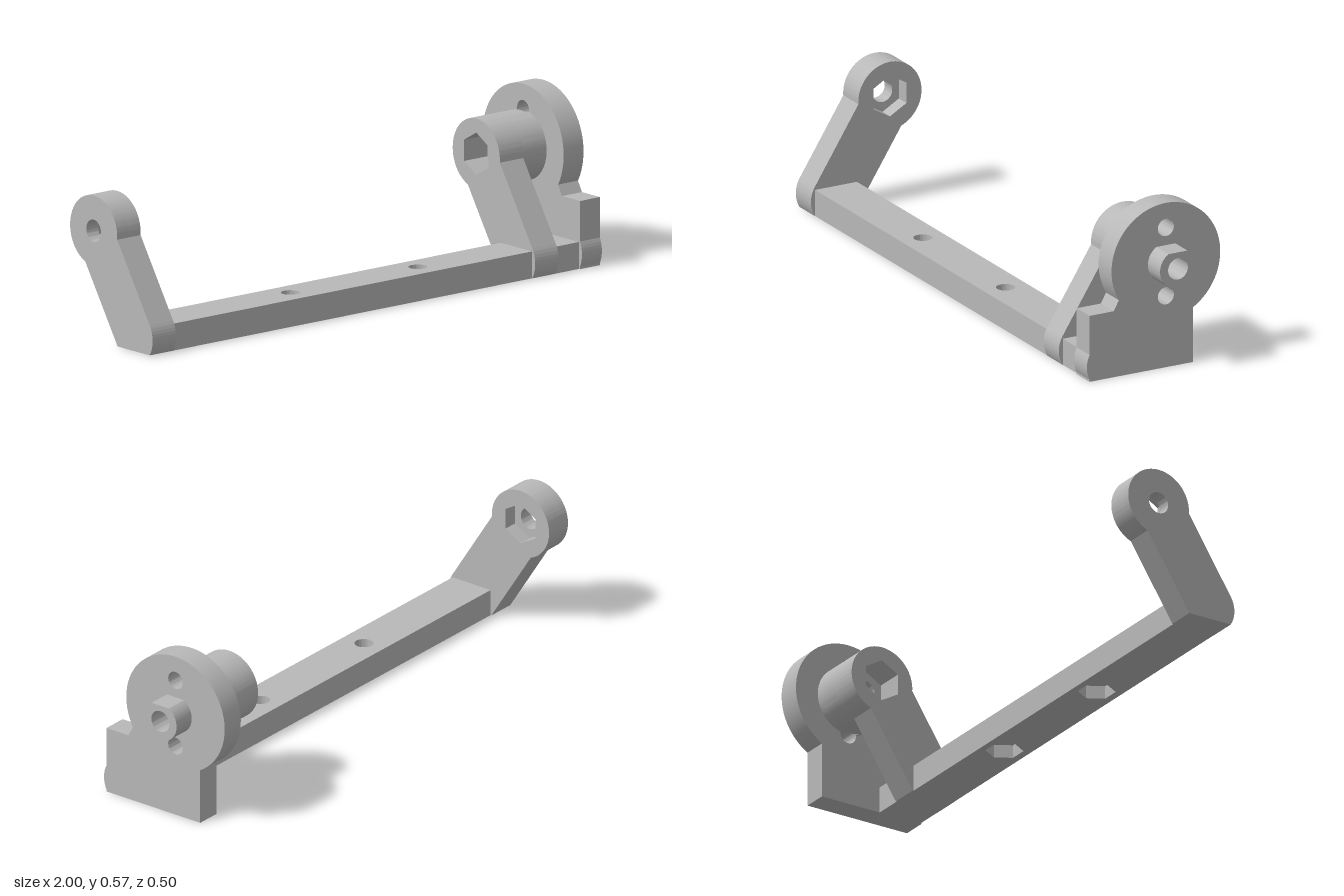
import * as THREE from 'three';
import { toCreasedNormals } from 'three/addons/utils/BufferGeometryUtils.js';

// Side profiles use (u, y) with u = -z and are extruded along +x.
const PIVOT = new THREE.Vector2(0.045, 0.365);
const FOOT = new THREE.Vector2(-0.155, 0.05);
const BARREL_R = 0.118, FOOT_R = 0.095, BORE_R = 0.037, NUT_R = 0.071, PIN_R = 0.03;

const round = (x, y, r) => new THREE.Path().absarc(x, y, r, 0, Math.PI * 2, true);

// Hexagonal pocket; start is the angle of its first corner
function hex(x, y, r, start) {
  const pts = [];
  for (let i = 0; i < 6; i++) {
    const a = start - i * Math.PI / 3;
    pts.push(new THREE.Vector2(x + r * Math.cos(a), y + r * Math.sin(a)));
  }
  return new THREE.Path(pts).closePath();
}

// Slanted arm: rounded foot cut flat at the floor, straight sides, round eye
function armShape() {
  const dir = PIVOT.clone().sub(FOOT).normalize();
  const front = Math.atan2(dir.x, -dir.y);
  const spread = Math.acos(FOOT_R / BARREL_R);
  const s = new THREE.Shape();
  s.moveTo(FOOT.x - Math.sqrt(FOOT_R ** 2 - FOOT.y ** 2), 0);
  s.lineTo(FOOT.x + FOOT_R * -dir.y * -1, 0);
  s.absarc(PIVOT.x, PIVOT.y, BARREL_R, front - Math.PI - spread, front + spread, false);
  s.absarc(FOOT.x, FOOT.y, FOOT_R, front, Math.PI + Math.asin(FOOT.y / FOOT_R), false);
  return s;
}

// Upright plate: rectangular base with a bulged toe, merging into a large disc
function plateShape() {
  const s = new THREE.Shape();
  s.moveTo(-0.24, 0);
  s.lineTo(0.147, 0);
  s.lineTo(0.147, 0.19);
  s.absarc(PIVOT.x, PIVOT.y, 0.203, Math.atan2(-0.175, 0.102), Math.PI + Math.atan2(0.102, 0.175), false);
  s.lineTo(-0.15, 0.228);
  s.lineTo(-0.24, 0.228);
  const a = Math.acos(0.085 / FOOT_R);
  s.absarc(FOOT.x, FOOT.y, FOOT_R, Math.PI - a, Math.PI + a, false);
  return s;
}

// Barrel end with a bite above and below, where the pin holes run in
function notchedShape() {
  const f = 2 * Math.asin(PIN_R / (2 * BARREL_R)), h = Math.PI / 2;
  const { x, y } = PIVOT;
  const s = new THREE.Shape();
  s.absarc(x, y, BARREL_R, -h + f, h - f, false);
  s.absarc(x, y + BARREL_R, PIN_R, -f / 2, Math.PI + f / 2, true);
  s.absarc(x, y, BARREL_R, h + f, 3 * h - f, false);
  s.absarc(x, y - BARREL_R, PIN_R, Math.PI - f / 2, f / 2, true);
  return s;
}

// Hollow stub with a flat on top
function stubShape() {
  const a = Math.asin(0.057 / 0.067);
  const s = new THREE.Shape();
  s.absarc(PIVOT.x, PIVOT.y, 0.067, Math.PI - a, Math.PI * 2 + a, false);
  return s;
}

export function createModel() {
  const group = new THREE.Group();
  const grey = new THREE.MeshStandardMaterial({ color: 0xb8b8b8 });
  grey.name = 'grey plastic';

  function extrude(shape, holes, depth) {
    shape.holes.push(...holes);
    return new THREE.ExtrudeGeometry(shape, { depth, bevelEnabled: false, curveSegments: 40 });
  }
  function add(name, geometry) {
    const mesh = new THREE.Mesh(toCreasedNormals(geometry, 0.4), grey);
    mesh.name = name;
    group.add(mesh);
  }
  const addSide = (name, shape, holes, x0, x1) =>
    add(name, extrude(shape, holes, x1 - x0).rotateY(Math.PI / 2).translate(x0, 0, 0));

  const bore = () => round(PIVOT.x, PIVOT.y, BORE_R);
  const nut = () => hex(PIVOT.x, PIVOT.y, NUT_R, Math.PI / 2);

  // Right arm: round bore outside, nut pocket inside
  addSide('rightArmOuter', armShape(), [bore()], -1, -0.95);
  addSide('rightArmInner', armShape(), [nut()], -0.95, -0.9);

  // Left arm with nut pocket, barrel, plate and stub
  addSide('leftArm', armShape(), [nut()], 0.635, 0.735);
  const barrel = new THREE.Shape().absarc(PIVOT.x, PIVOT.y, BARREL_R, 0, Math.PI * 2, false);
  addSide('barrel', barrel, [bore()], 0.735, 0.82);
  addSide('barrelEnd', notchedShape(), [bore()], 0.82, 0.835);
  const pins = [1, -1].map(k => round(PIVOT.x, PIVOT.y + k * BARREL_R, PIN_R));
  addSide('discPlate', plateShape(), [bore(), ...pins], 0.835, 0.92);
  addSide('stub', stubShape(), [bore()], 0.92, 1);

  // Cross bar: nut pockets below, round screw holes above
  const bar = (name, holes, y) => {
    const s = new THREE.Shape();
    s.moveTo(-0.9, -0.235);
    s.lineTo(0.91, -0.235);
    s.lineTo(0.91, -0.078);
    s.lineTo(-0.9, -0.078);
    s.closePath();
    add(name, extrude(s, holes, 0.045).rotateX(-Math.PI / 2).translate(0, y, 0));
  };
  const screws = [-0.33, 0.215];
  bar('crossBarLower', screws.map(x => hex(x, -0.155, 0.062, 0)), 0);
  bar('crossBarUpper', screws.map(x => round(x, -0.155, 0.031)), 0.045);

  return group;
}
